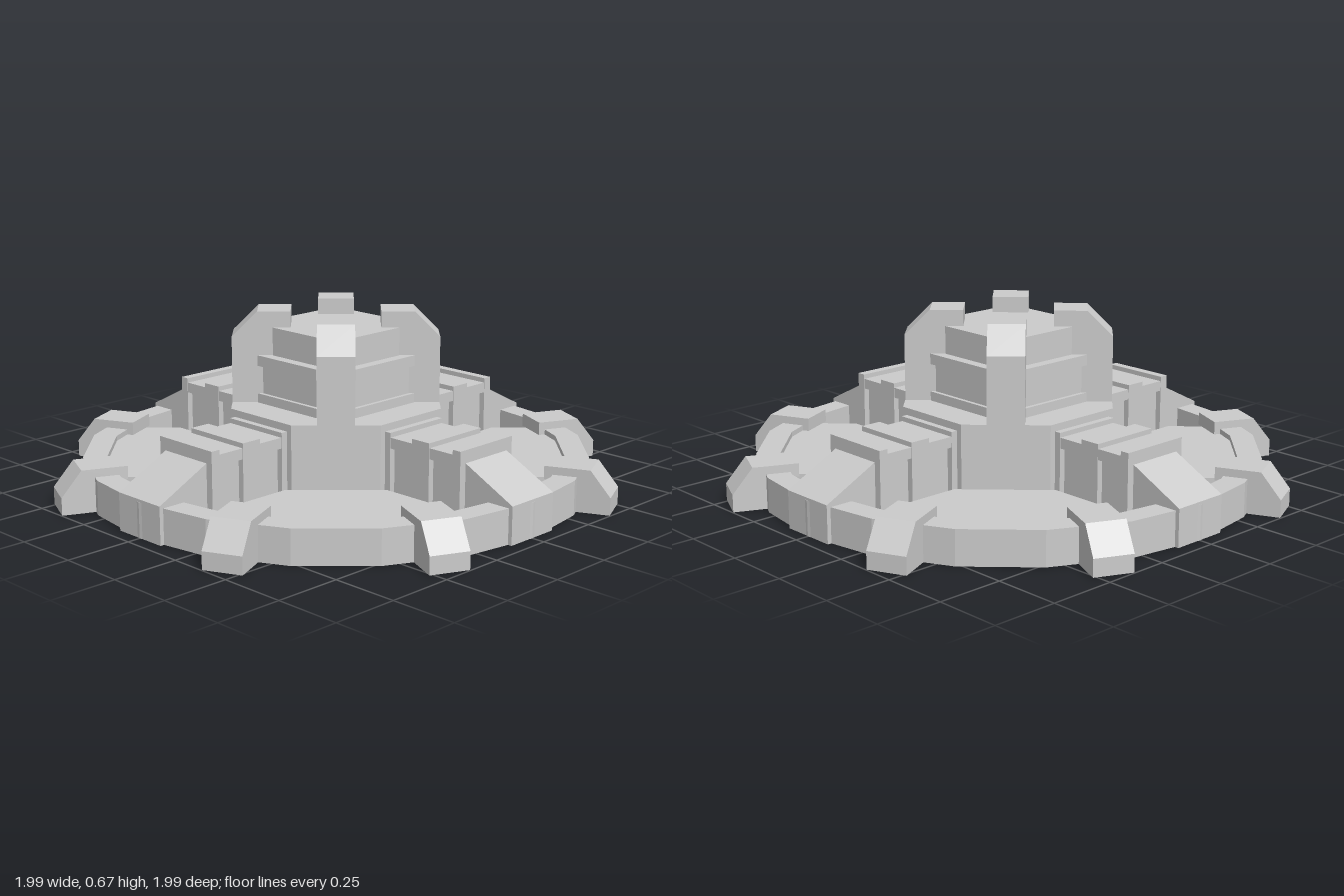
import * as THREE from 'three';

const mat = new THREE.MeshStandardMaterial({ color: 0xcccccc, flatShading: true, side: THREE.DoubleSide });

// Adds a faceted mesh; faces lying on the ground are left out so parts are hollow shells
function mesh(name, geometry, parent) {
  const flat = geometry.index ? geometry.toNonIndexed() : geometry;
  const p = flat.attributes.position.array;
  const kept = [];
  for (let i = 0; i < p.length; i += 9) {
    if (Math.max(p[i + 1], p[i + 4], p[i + 7]) > 1e-4) kept.push(...p.slice(i, i + 9));
  }
  const geo = new THREE.BufferGeometry();
  geo.setAttribute('position', new THREE.Float32BufferAttribute(kept, 3));
  geo.computeVertexNormals();
  const m = new THREE.Mesh(geo, mat);
  m.name = name;
  parent.add(m);
  return m;
}

const shapeOf = (pts) => new THREE.Shape(pts.map(([x, y]) => new THREE.Vector2(x, y)));

// Side profile in (radius, height), extruded to a width centred on the radial line
function radialSlab(profile, halfWidth) {
  const geo = new THREE.ExtrudeGeometry(shapeOf(profile), { depth: halfWidth * 2, bevelEnabled: false });
  return geo.translate(0, 0, -halfWidth);
}

// Box along the spoke from r0 to r1, y0 to y1
function spokeBox(r0, r1, y0, y1, halfWidth) {
  return new THREE.BoxGeometry(r1 - r0, y1 - y0, halfWidth * 2).translate((r0 + r1) / 2, (y0 + y1) / 2, 0);
}

// Plan outline raised from y0 to y1
function prism(shape, y0, y1) {
  const geo = new THREE.ExtrudeGeometry(shape, { depth: y1 - y0, bevelEnabled: false });
  return geo.rotateX(-Math.PI / 2).translate(0, y0, 0);
}

// Octagon with sides facing the axes at distance a, each 2h wide
const octagon = (a, h) => shapeOf([[a, -h], [a, h], [h, a], [-h, a], [-a, h], [-a, -h], [-h, -a], [h, -a]]);

const polygon = (radius, sides) => Array.from({ length: sides }, (_, i) => {
  const t = (i / sides) * Math.PI * 2;
  return [radius * Math.cos(t), radius * Math.sin(t)];
});

export function createModel() {
  const model = new THREE.Group();
  model.name = 'landingPlatform';

  // Outer rim
  const rim = shapeOf(polygon(0.95, 20));
  rim.holes.push(shapeOf(polygon(0.86, 20)));
  mesh('outerRing', prism(rim, 0, 0.13), model);

  // Hollow central hub with an inner floor
  mesh('hub', prism(octagon(0.385, 0.16), 0, 0.32), model);
  mesh('hubFloor', new THREE.ShapeGeometry(octagon(0.385, 0.16)).rotateX(-Math.PI / 2).translate(0, 0.14, 0), model);

  // Stepped tower: apothem, half side, bottom, top
  const tiers = [
    [0.255, 0.155, 0.32, 0.355], [0.24, 0.142, 0.355, 0.46],
    [0.255, 0.155, 0.46, 0.5], [0.215, 0.115, 0.5, 0.605],
  ];
  for (const [a, h, y0, y1] of tiers) mesh('towerTier', prism(octagon(a, h), y0, y1), model);

  const padOutline = [
    [0.21, 0.67], [0.21, 0.465], [0.465, 0.21], [0.67, 0.21],
    [0.805, 0.345], [0.71, 0.52], [0.52, 0.71], [0.345, 0.805],
  ];
  const finProfile = [[0.167, 0.32], [0.385, 0.32], [0.385, 0.57], [0.29, 0.665], [0.167, 0.665]];
  const clampProfile = [
    [0.9, 0], [1.065, 0], [1.065, 0.065], [0.99, 0.16], [0.822, 0.16], [0.822, 0.11], [0.9, 0.11],
  ];
  const rampProfile = [[0.73, 0], [0.948, 0], [0.948, 0.14], [0.73, 0.25]];

  for (let i = 0; i < 4; i++) {
    const quarter = new THREE.Group();
    quarter.name = 'quarter' + (i + 1);
    quarter.rotation.y = (i * Math.PI) / 2;
    model.add(quarter);

    // Spoke with ribs, rails and recessed side panels
    const spoke = new THREE.Group();
    spoke.name = 'spoke';
    quarter.add(spoke);
    mesh('spokeBody', spokeBox(0.385, 0.72, 0, 0.275, 0.115), spoke);
    for (const s of [-1, 1]) {
      for (const [y0, y1] of [[0, 0.04], [0.235, 0.275]]) {
        mesh('spokeRail', spokeBox(0.385, 0.72, y0, y1, 0.0105).translate(0, 0, s * 0.1255), spoke);
      }
    }
    for (const [r0, r1] of [[0.385, 0.41], [0.515, 0.595], [0.703, 0.738]]) {
      mesh('spokeRib', spokeBox(r0, r1, 0, 0.293, 0.138), spoke);
    }
    mesh('spokeRamp', radialSlab(rampProfile, 0.11), spoke);

    // Floor pad with skirt between two spokes
    mesh('floorPad', prism(shapeOf(padOutline), 0, 0.11), quarter);

    // Diagonal fin on the tower
    mesh('towerFin', radialSlab(finProfile, 0.068), quarter).rotation.y = Math.PI / 4;

    // Pair of clamps gripping the rim
    for (const s of [-1, 1]) {
      mesh('rimClamp', radialSlab(clampProfile, 0.072), quarter).rotation.y = s * THREE.MathUtils.degToRad(24.8);
    }
  }
  return model;
}
